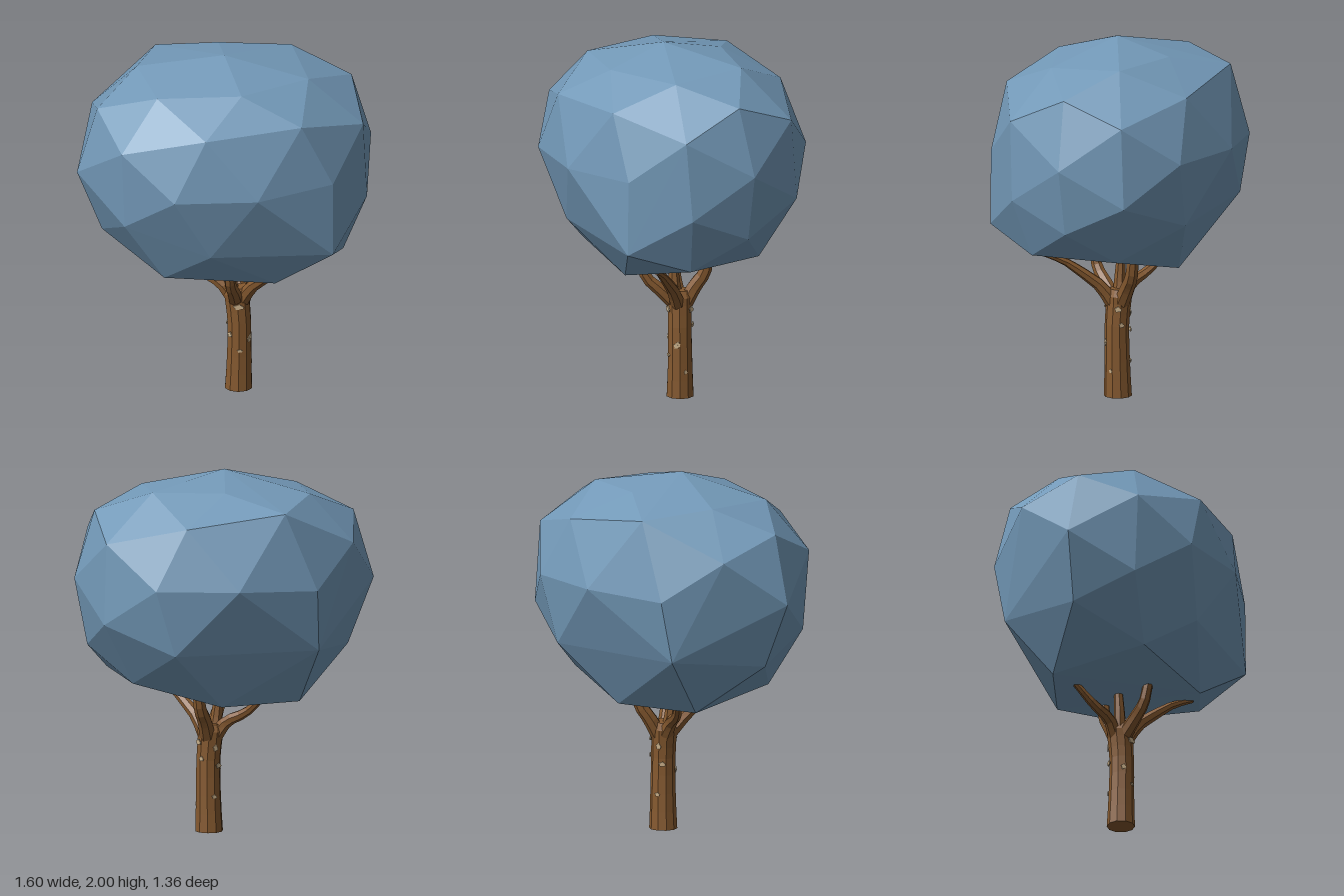
import * as THREE from 'three';
import { ConvexGeometry } from 'three/addons/geometries/ConvexGeometry.js';

const UP = new THREE.Vector3(0, 1, 0);
const V = (p) => new THREE.Vector3(...p);

// Faceted canopy corners, from the crown down to the underside
const CANOPY = [
  [0, 2, 0.04], [-0.48, 1.89, -0.055], [0.46, 1.895, 0.115], [0.36, 1.925, -0.29],
  [-0.36, 1.875, 0.36], [0.1, 1.9, 0.375], [-0.04, 1.93, -0.3],
  [0.69, 1.8, -0.175], [0.76, 1.645, 0.15], [0.43, 1.755, 0.465], [-0.09, 1.73, 0.615],
  [-0.69, 1.755, 0.22], [-0.55, 1.61, 0.52], [-0.725, 1.64, -0.13], [-0.385, 1.85, -0.445],
  [0.14, 1.78, -0.585], [0.59, 1.675, -0.505],
  [0.795, 1.43, -0.23], [0.6, 1.405, 0.43], [0.195, 1.39, 0.65], [-0.26, 1.385, 0.675],
  [-0.8, 1.38, 0.23], [-0.56, 1.424, -0.43], [-0.155, 1.45, -0.655], [0.3, 1.45, -0.68],
  [0.78, 1.205, 0.12], [0.6, 1.23, -0.532], [0.725, 1.06, -0.215], [0.6, 0.99, 0.435],
  [-0.065, 1.025, 0.575], [-0.535, 1.17, 0.49], [-0.665, 1.02, 0.17], [-0.56, 1.08, -0.36],
  [0.2, 1.08, -0.63],
  [0.65, 0.88, 0.09], [0.46, 0.875, -0.36], [0.285, 0.78, 0.35], [-0.32, 0.83, 0.4],
  [-0.43, 0.75, -0.13], [-0.03, 0.756, -0.38],
];

// Flat-faced tapered limb swept along a curve; radius(t) gives its thickness
function limb(name, points, radius, sides, steps, material) {
  const curve = new THREE.CatmullRomCurve3(points.map(V));
  const geo = new THREE.CylinderGeometry(1, 1, 1, sides, steps);
  const pos = geo.attributes.position;
  const v = new THREE.Vector3();
  const q = new THREE.Quaternion();
  for (let i = 0; i < pos.count; i++) {
    v.fromBufferAttribute(pos, i);
    const t = THREE.MathUtils.clamp(v.y + 0.5, 0, 1);
    q.setFromUnitVectors(UP, t === 0 && name === 'trunk' ? UP : curve.getTangent(t));
    v.setY(0).multiplyScalar(radius(t)).applyQuaternion(q).add(curve.getPoint(t));
    pos.setXYZ(i, v.x, v.y, v.z);
  }
  const flat = geo.toNonIndexed();
  flat.computeVertexNormals();
  const mesh = new THREE.Mesh(flat, material);
  mesh.name = name;
  return mesh;
}

// Thin ragged patch of pale bark lying on the trunk
function barkPatch(angle, y, width, height, material) {
  const shape = new THREE.Shape();
  const n = 9;
  for (let i = 0; i < n; i++) {
    const a = (i / n) * Math.PI * 2;
    const r = i % 2 ? 0.36 : 0.52;
    shape[i ? 'lineTo' : 'moveTo'](Math.cos(a) * r * width, Math.sin(a) * r * height);
  }
  const geo = new THREE.ExtrudeGeometry(shape, { depth: 0.006, bevelEnabled: false });
  const mesh = new THREE.Mesh(geo, material);
  mesh.name = 'barkPatch';
  const r = 0.067;
  mesh.position.set(0.077 + Math.sin(angle) * r, y, -0.031 + Math.cos(angle) * r);
  mesh.rotation.y = angle;
  return mesh;
}

export function createModel() {
  const tree = new THREE.Group();
  tree.name = 'tree';

  const leaf = new THREE.MeshStandardMaterial({ color: 0x7399b8 });
  leaf.name = 'blue foliage';
  const bark = new THREE.MeshStandardMaterial({ color: 0x85592f });
  bark.name = 'brown bark';
  const pale = new THREE.MeshStandardMaterial({ color: 0xc9b08a });
  pale.name = 'pale bark';

  // Canopy
  const canopy = new THREE.Mesh(new ConvexGeometry(CANOPY.map(V)), leaf);
  canopy.name = 'canopy';
  tree.add(canopy);

  // Trunk, slightly waisted
  tree.add(limb('trunk',
    [[0.076, 0, -0.031], [0.08, 0.2, -0.03], [0.08, 0.4, -0.028], [0.07, 0.52, -0.03], [0.065, 0.6, -0.03]],
    (t) => 0.077 - 0.04 * t * (1 - t) - (t > 0.9 ? 0.02 : 0), 10, 8, bark));

  // Branches fanning out into the canopy: path, base radius, tip radius
  const branches = [
    [[[0.04, 0.53, -0.04], [-0.02, 0.61, -0.04], [-0.13, 0.67, -0.07], [-0.23, 0.77, -0.12]], 0.042, 0.018],
    [[[0.1, 0.53, -0.01], [0.15, 0.62, 0.03], [0.24, 0.71, 0.1], [0.31, 0.77, 0.15], [0.41, 0.82, 0.21]], 0.042, 0.014],
    [[[0.08, 0.53, -0.06], [0.09, 0.62, -0.11], [0.11, 0.7, -0.16], [0.12, 0.82, -0.18]], 0.045, 0.031],
    [[[0.06, 0.53, 0], [0.05, 0.61, 0.08], [0.035, 0.68, 0.15], [0.03, 0.82, 0.19]], 0.042, 0.026],
    [[[0.05, 0.53, -0.02], [0.035, 0.65, -0.01], [0.02, 0.82, -0.01]], 0.04, 0.022],
  ];
  for (const [path, r0, r1] of branches) {
    tree.add(limb('branch', path, (t) => r0 + (r1 - r0) * t, 7, 7, bark));
  }

  // Bark patches: angle around the trunk (0 = front), height, size
  const patches = [
    [0, 0.5, 0.06, 0.035], [-0.75, 0.33, 0.03, 0.035], [0.95, 0.3, 0.03, 0.035], [0.1, 0.24, 0.03, 0.02],
    [1.1, 0.31, 0.025, 0.035], [1.7, 0.15, 0.02, 0.025], [2.6, 0.41, 0.03, 0.03],
    [2.3, 0.5, 0.04, 0.035], [-2.2, 0.37, 0.04, 0.03], [-2.6, 0.2, 0.03, 0.025], [-2.5, 0.47, 0.03, 0.04],
  ];
  for (const [a, y, w, h] of patches) tree.add(barkPatch(a, y, w, h, pale));

  return tree;
}
